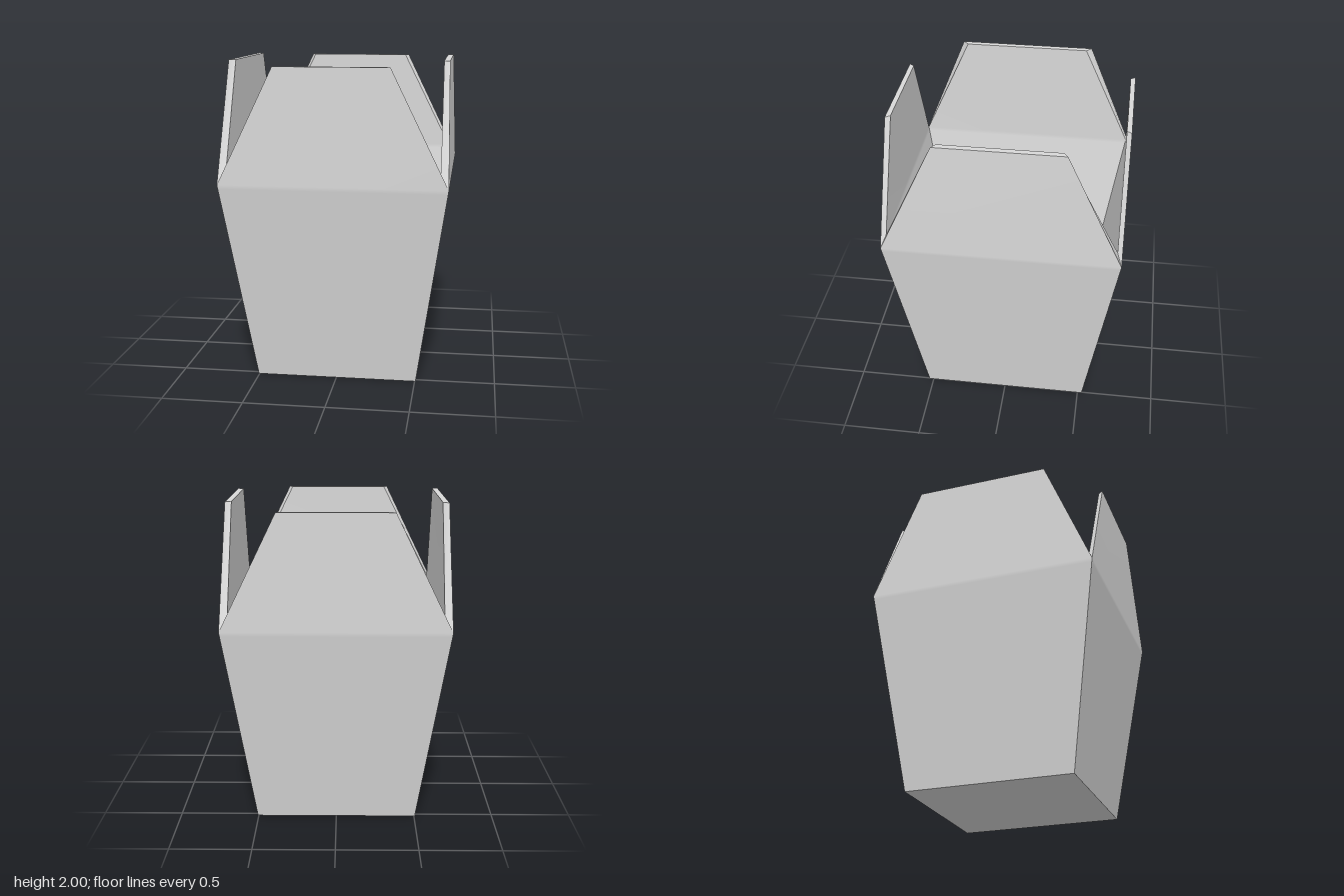
import * as THREE from 'three';

const clay = new THREE.MeshStandardMaterial({ color: 0xd8d8d8 });
clay.name = 'pale grey';

// Builds a mesh from shared corners, smoothing only inside that mesh.
function faces(name, points, index) {
  const g = new THREE.BufferGeometry();
  g.setAttribute('position', new THREE.Float32BufferAttribute(points.flat(), 3));
  g.setIndex(index);
  g.computeVertexNormals();
  const mesh = new THREE.Mesh(g, clay);
  mesh.name = name;
  return mesh;
}

const quad = (name, a, b, c, d) => faces(name, [a, b, c, d], [0, 1, 2, 0, 2, 3]);

// Levels as half sizes: x, height, z
const shell = {
  outer: { base: [0.505, 0, 0.528], rim: [0.695, 1.27, 0.727] },
  inner: { base: [0.44, 0.06, 0.475], rim: [0.645, 1.34, 0.697] },
};

// Each side: direction in quarter turns, then flap top [half width, height, distance out]
const sides = [
  { name: 'front', turn: 0, outer: [0.347, 1.98, 0.727], inner: [0.325, 1.98, 0.697] },
  { name: 'left', turn: 1, outer: [0.387, 2, 0.677], inner: [0.36, 2, 0.64] },
  { name: 'back', turn: 2, outer: [0.347, 1.98, 0.727], inner: [0.325, 1.98, 0.697] },
  { name: 'right', turn: 3, outer: [0.428, 2, 0.68], inner: [0.395, 2, 0.643] },
];

// Places a point given as sideways u, height y and outward w
function place(turn, u, y, w) {
  return [[u, y, w], [w, y, -u], [-u, y, -w], [-w, y, u]][turn];
}

// Left and right corners of a wall and its flap, from the base up
function outline(turn, { base, rim }, top) {
  const level = ([x, y, z]) => (turn % 2 ? [z, y, x] : [x, y, z]);
  // A row just under the rim keeps the fold tight but softly shaded
  const fold = rim.map((v, k) => v + (base[k] - v) * 0.02);
  const rows = [level(base), level(fold), level(rim), top];
  return rows.flatMap(([u, y, w]) => [place(turn, -u, y, w), place(turn, u, y, w)]);
}

export function createModel() {
  const model = new THREE.Group();
  model.name = 'flaredPlanter';

  // Triangles joining the four rows of a panel, seen from outside
  const wall = [0, 2, 4].flatMap((k) => [k, k + 1, k + 3, k, k + 3, k + 2]);

  for (const { name, turn, outer, inner } of sides) {
    const o = outline(turn, shell.outer, outer);
    const i = outline(turn, shell.inner, inner);
    const side = new THREE.Group();
    side.name = name + 'Panel';
    side.add(faces(name + 'OuterWall', o, wall));
    side.add(faces(name + 'InnerWall', i, [...wall].reverse()));
    // Thickness along the flap's two slopes and top
    for (const [a, b] of [[5, 7], [7, 6], [6, 4]]) {
      side.add(quad(name + 'FlapEdge', o[a], i[a], i[b], o[b]));
    }
    model.add(side);
  }

  // Inside floor and underside
  const corners = ([x, y, z]) => [[-x, y, z], [x, y, z], [x, y, -z], [-x, y, -z]];
  model.add(quad('floor', ...corners(shell.inner.base)));
  model.add(quad('underside', ...corners(shell.outer.base).reverse()));
  return model;
}
